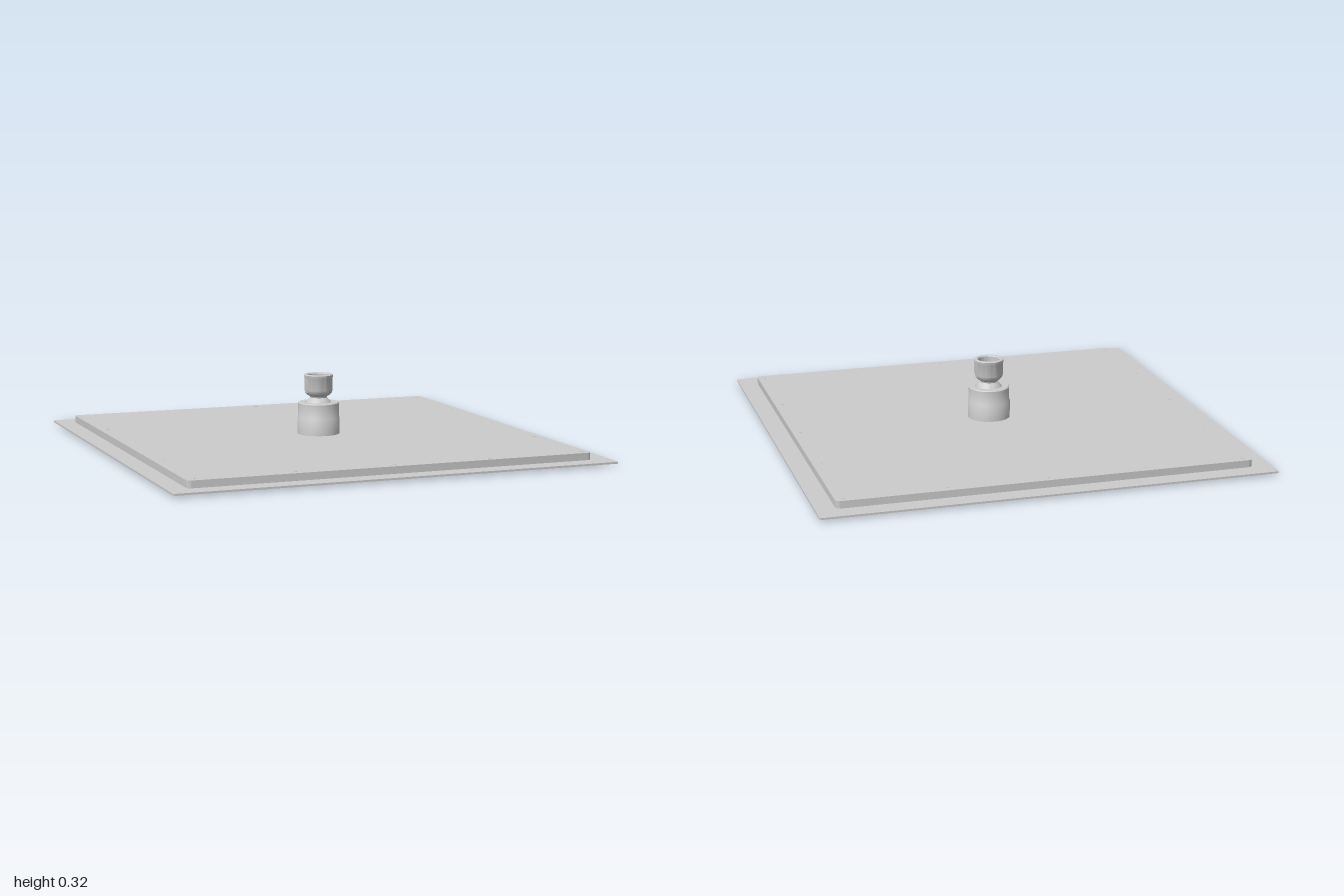
import * as THREE from 'three';
import { toCreasedNormals } from 'three/addons/utils/BufferGeometryUtils.js';

const material = new THREE.MeshStandardMaterial({ color: 0xcccccc });

function add(parent, name, geometry, x = 0, y = 0, z = 0) {
  const mesh = new THREE.Mesh(geometry, material);
  mesh.name = name;
  mesh.position.set(x, y, z);
  parent.add(mesh);
  return mesh;
}

// Flat square slab with rounded corners, lying on y = 0
function slab(half, radius, height) {
  const s = new THREE.Shape();
  const k = half - radius;
  s.absarc(k, k, radius, 0, Math.PI / 2);
  s.absarc(-k, k, radius, Math.PI / 2, Math.PI);
  s.absarc(-k, -k, radius, Math.PI, Math.PI * 1.5);
  s.absarc(k, -k, radius, Math.PI * 1.5, Math.PI * 2);
  const g = new THREE.ExtrudeGeometry(s, { depth: height, bevelEnabled: false, curveSegments: 6 });
  return toCreasedNormals(g.rotateX(-Math.PI / 2), 0.6);
}

// Lathe with sharp edges kept
function turned(profile) {
  const points = profile.map(([r, y]) => new THREE.Vector2(r, y));
  return new THREE.LatheGeometry(points, 48);
}

export function createModel() {
  const model = new THREE.Group();
  model.name = 'showerHead';

  // Thin face plate and the raised housing behind it
  add(model, 'facePlate', slab(1, 0.006, 0.008), 0, 0.01, 0);
  add(model, 'backHousing', slab(0.915, 0.02, 0.032), 0, 0.018, 0);

  // Screws around the rim of the housing
  const screws = new THREE.Group();
  screws.name = 'screws';
  model.add(screws);
  const screw = new THREE.CylinderGeometry(0.007, 0.007, 0.002, 12);
  for (let i = 0; i < 5; i++) {
    for (let j = 0; j < 5; j++) {
      if (i % 4 && j % 4) continue;
      add(screws, 'screw', screw, (i - 2) * 0.44, 0.05, (j - 2) * 0.44);
    }
  }

  // Grid of spray nozzles underneath
  const nozzles = new THREE.Group();
  nozzles.name = 'nozzles';
  model.add(nozzles);
  const nozzle = new THREE.CylinderGeometry(0.01, 0.007, 0.012, 12);
  for (let i = 0; i < 12; i++) {
    for (let j = 0; j < 12; j++) {
      add(nozzles, 'nozzle', nozzle, (i - 5.5) * 0.151, 0.006, (j - 5.5) * 0.151);
    }
  }

  // Socket collar holding the swivel ball
  const collar = turned([
    [0.096, 0.045], [0.096, 0.125], [0.093, 0.13], [0.093, 0.191],
    [0.089, 0.195], [0.062, 0.195], [0.055, 0.19], [0, 0.19],
  ]);
  add(model, 'socketCollar', toCreasedNormals(collar, 0.6));

  // Swivel joint: ball, neck and open threaded cup
  const joint = turned([
    [0.062, 0.185], [0.056, 0.198], [0.046, 0.208], [0.038, 0.216], [0.04, 0.222],
    [0.052, 0.229], [0.061, 0.239], [0.065, 0.252], [0.065, 0.308], [0.067, 0.311],
    [0.067, 0.32], [0.064, 0.323], [0.053, 0.323], [0.049, 0.318], [0.049, 0.27], [0, 0.27],
  ]);
  // Wrench flats on both sides of the cup, below its lip
  const p = joint.attributes.position;
  for (let i = 0; i < p.count; i++) {
    if (p.getY(i) > 0.235 && p.getY(i) < 0.309) {
      p.setX(i, THREE.MathUtils.clamp(p.getX(i), -0.061, 0.061));
    }
  }
  add(model, 'swivelJoint', toCreasedNormals(joint, 0.6));

  return model;
}
